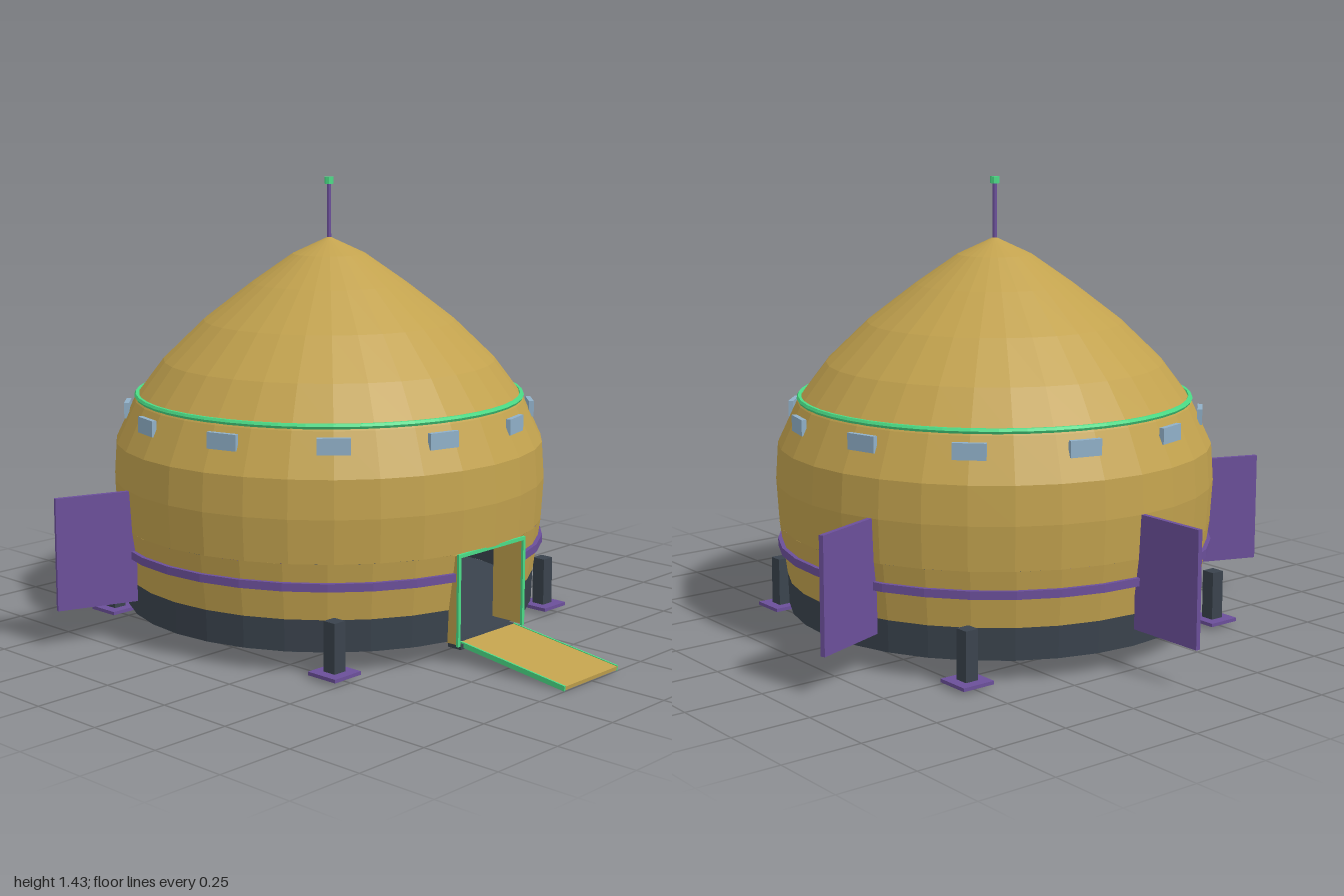
import * as THREE from 'three';

const mat = (name, color, side = THREE.FrontSide) => {
  const m = new THREE.MeshStandardMaterial({ color, side, flatShading: true });
  m.name = name;
  return m;
};

export function createModel() {
  const gold = mat('gold', 0xc2a24e, THREE.DoubleSide);
  const slate = mat('slate', 0x3a434d, THREE.DoubleSide);
  const purple = mat('purple', 0x6b4f9a);
  const green = mat('green', 0x4bdc86);
  const glass = mat('glass', 0x90b0c8);

  const model = new THREE.Group();
  const ship = new THREE.Group(); // everything round is centred on this axis
  ship.name = 'ship';
  ship.position.z = -0.065;
  model.add(ship);

  const add = (name, geo, material, x = 0, y = 0, z = 0, parent = ship) => {
    const m = new THREE.Mesh(geo, material);
    m.name = name;
    m.position.set(x, y, z);
    parent.add(m);
    return m;
  };
  const box = (name, w, h, d, material, x, y, z, parent) =>
    add(name, new THREE.BoxGeometry(w, h, d), material, x, y, z, parent);
  // Lathe with an optional gap of +-gap radians at the front
  const lathe = (name, pts, material, gap = 0) =>
    add(name, new THREE.LatheGeometry(pts.map(p => new THREE.Vector2(...p)),
      gap ? 30 : 32, gap, Math.PI * 2 - 2 * gap), material);
  const GAP = 0.232;

  // Hull
  lathe('underside', [[0, 0.03], [0.37, 0.031], [0.595, 0.045], [0.664, 0.065]], slate);
  lathe('baseSkirt', [[0.664, 0.065], [0.668, 0.165]], slate, GAP);
  lathe('lowerHull', [[0.668, 0.165], [0.682, 0.27], [0.692, 0.34]], gold, GAP);
  lathe('upperHull', [[0.692, 0.34], [0.70, 0.475], [0.692, 0.593], [0.63, 0.725],
    [0.536, 0.85], [0.405, 0.976], [0.25, 1.095], [0.118, 1.187], [0, 1.242]], gold);
  lathe('hullBand', [[0.676, 0.258], [0.697, 0.258], [0.697, 0.283], [0.676, 0.283]], purple, GAP);
  const ring = add('lightRing', new THREE.TorusGeometry(0.622, 0.009, 6, 48), green, 0, 0.738, 0);
  ring.rotation.x = Math.PI / 2;

  // Windows
  for (let i = 0; i < 12; i++) {
    const a = (15 + 30 * i) * Math.PI / 180;
    const w = box('window', 0.1, 0.05, 0.016, glass, 0.654 * Math.sin(a), 0.685, 0.654 * Math.cos(a));
    w.rotation.y = a;
  }

  // Fins
  for (const deg of [110, 180, 250]) {
    const a = deg * Math.PI / 180;
    const fin = box('fin', 0.015, 0.355, 0.26, purple, 0.805 * Math.sin(a), 0.298, 0.805 * Math.cos(a));
    fin.rotation.y = a;
  }

  // Landing legs
  for (const x of [-0.5, 0.5]) for (const z of [-0.5, 0.5]) {
    box('leg', 0.045, 0.155, 0.045, slate, x, 0.098, z);
    box('footPad', 0.11, 0.011, 0.11, purple, x, 0.016, z);
  }

  // Antenna
  add('antenna', new THREE.CylinderGeometry(0.007, 0.007, 0.19, 8), purple, 0, 1.32, 0);
  add('antennaTip', new THREE.CylinderGeometry(0.015, 0.015, 0.022, 8), green, 0, 1.42, 0);

  // Interior floor and console
  const floor = add('floor', new THREE.CircleGeometry(0.66, 32), slate, 0, 0.064, 0);
  floor.rotation.x = -Math.PI / 2;
  box('consoleTop', 0.34, 0.05, 0.16, purple, 0, 0.185, -0.35);
  for (const s of [-1, 1]) box('consoleSide', 0.1, 0.096, 0.14, purple, s * 0.12, 0.112, -0.35);
  box('consolePanel', 0.14, 0.096, 0.1, gold, 0, 0.112, -0.36);

  // Doorway with lit edging
  const door = new THREE.Group();
  door.name = 'doorway';
  model.add(door);
  for (const s of [-1, 1]) {
    box('jamb', 0.008, 0.275, 0.11, gold, s * 0.154, 0.2, 0.561, door);
    box('jambLight', 0.011, 0.285, 0.008, green, s * 0.155, 0.2, 0.62, door);
  }
  box('lintel', 0.31, 0.008, 0.11, gold, 0, 0.334, 0.561, door);
  box('lintelLight', 0.32, 0.011, 0.008, green, 0, 0.337, 0.62, door);
  box('threshold', 0.29, 0.016, 0.05, slate, 0, 0.053, 0.597, door);

  // Ramp sloping down to the ground
  const ramp = new THREE.Group();
  ramp.name = 'ramp';
  ramp.position.set(0, 0.034, 0.803);
  ramp.rotation.x = 0.128;
  model.add(ramp);
  box('rampDeck', 0.26, 0.012, 0.395, gold, 0, 0, 0, ramp);
  for (const s of [-1, 1]) box('rampLight', 0.006, 0.016, 0.395, green, s * 0.13, 0, 0, ramp);

  return model;
}
